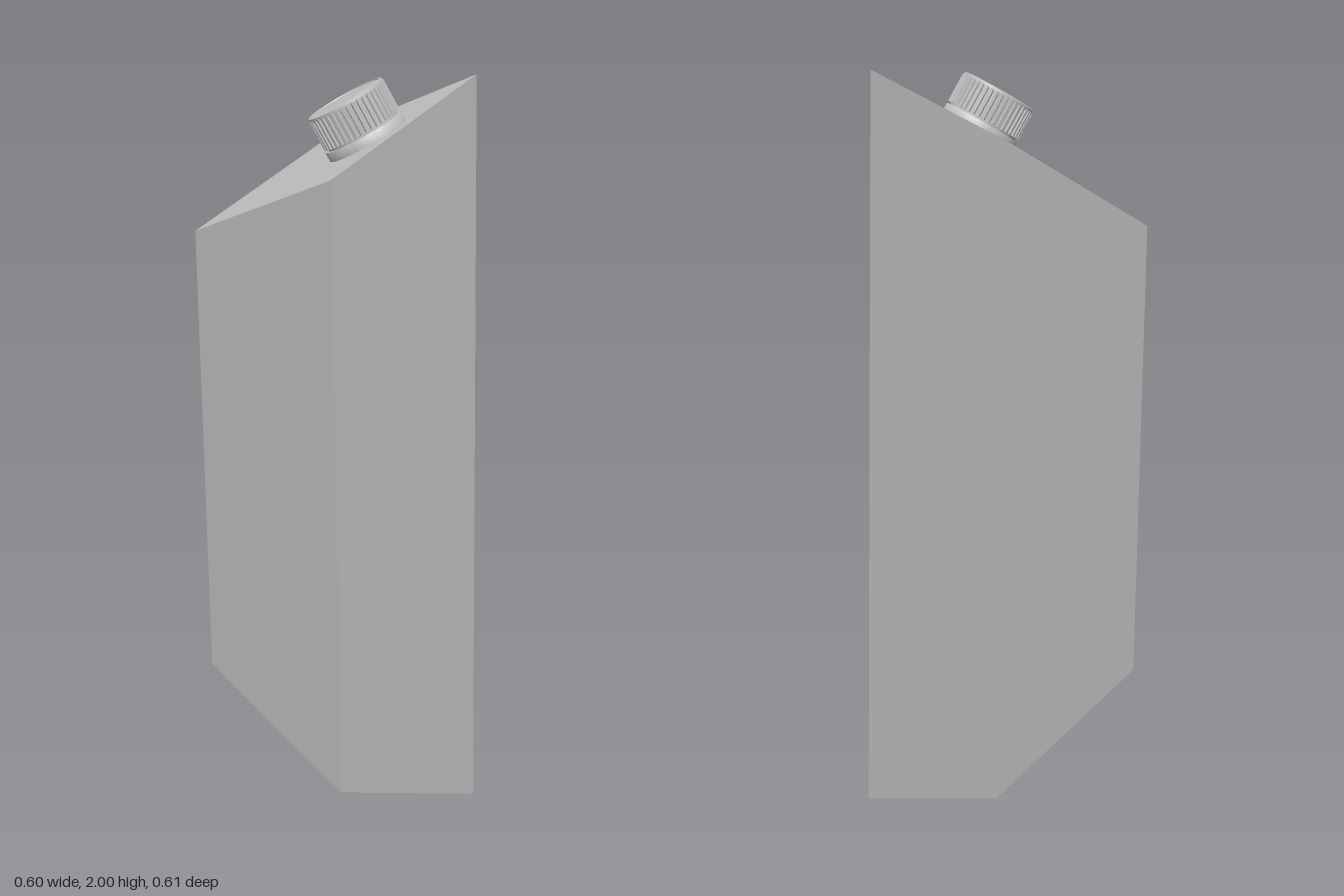
import * as THREE from 'three';
import { toCreasedNormals } from 'three/addons/utils/BufferGeometryUtils.js';

const RIBS = 44;

export function createModel() {
  const model = new THREE.Group();
  model.name = 'carton';
  const grey = new THREE.MeshStandardMaterial({ color: 0xc0c0c0 });
  grey.name = 'plain grey';

  const add = (parent, name, geometry) => {
    const mesh = new THREE.Mesh(geometry, grey);
    mesh.name = name;
    parent.add(mesh);
    return mesh;
  };
  const lathe = (points) => toCreasedNormals(
    new THREE.LatheGeometry(points.map(([r, y]) => new THREE.Vector2(r, y)), 64), 0.6);

  // Carton body: a box whose corners are moved to the slanted top and bottom
  // (keys: l/r = -x/+x, b/t = bottom/top, k/f = back/front)
  const corners = {
    lbf: [-0.28, 0.21, 0.304], rbf: [0.267, 0, 0.272],
    rbk: [0.3, 0.178, -0.288], lbk: [-0.247, 0.388, -0.256],
    ltf: [-0.3, 1.78, 0.287], rtf: [0.24, 2, 0.25],
    rtk: [0.28, 1.82, -0.307], ltk: [-0.26, 1.6, -0.27],
  };
  const box = new THREE.BoxGeometry(1, 1, 1);
  const pos = box.attributes.position;
  for (let i = 0; i < pos.count; i++) {
    const key = (pos.getX(i) < 0 ? 'l' : 'r') + (pos.getY(i) < 0 ? 'b' : 't') + (pos.getZ(i) < 0 ? 'k' : 'f');
    pos.setXYZ(i, ...corners[key]);
  }
  box.computeVertexNormals();
  add(model, 'cartonBody', box);

  // Screw cap stands square on the slanted top
  const cap = new THREE.Group();
  cap.name = 'screwCap';
  const [ltf, rtf, rtk] = ['ltf', 'rtf', 'rtk'].map((k) => new THREE.Vector3(...corners[k]));
  const normal = rtf.clone().sub(ltf).cross(rtk.clone().sub(rtf)).normalize();
  cap.quaternion.setFromUnitVectors(new THREE.Vector3(0, 1, 0), normal);
  cap.position.set(-0.018, 1.843, 0.122);
  model.add(cap);

  // Collar under the cap
  add(cap, 'collar', lathe([[0.107, -0.005], [0.107, 0.022], [0.105, 0.025], [0.09, 0.025]]));
  add(cap, 'neck', lathe([[0.098, 0.02], [0.098, 0.04]]));

  // Ribbed grip
  const outline = [];
  for (let i = 0; i < RIBS; i++) {
    [[0, 0.102], [0.35, 0.102], [0.5, 0.1065], [0.85, 0.1065]].forEach(([step, r]) => {
      const a = ((i + step) / RIBS) * Math.PI * 2;
      outline.push(new THREE.Vector2(Math.cos(a) * r, Math.sin(a) * r));
    });
  }
  const grip = new THREE.ExtrudeGeometry(new THREE.Shape(outline), { depth: 0.081, bevelEnabled: false });
  grip.rotateX(-Math.PI / 2);
  add(cap, 'ribbedGrip', grip).position.y = 0.031;

  // Rounded rim, shallow sunken lid and centre dimple
  add(cap, 'capTop', lathe([
    [0.1045, 0.108], [0.1045, 0.113], [0.1035, 0.117], [0.1, 0.119], [0.097, 0.119],
    [0.096, 0.116], [0.007, 0.116], [0.005, 0.1135], [0, 0.1135],
  ]));
  const dimple = new THREE.TorusGeometry(0.006, 0.0012, 8, 24);
  dimple.rotateX(Math.PI / 2);
  add(cap, 'dimpleRing', dimple).position.y = 0.116;

  return model;
}
